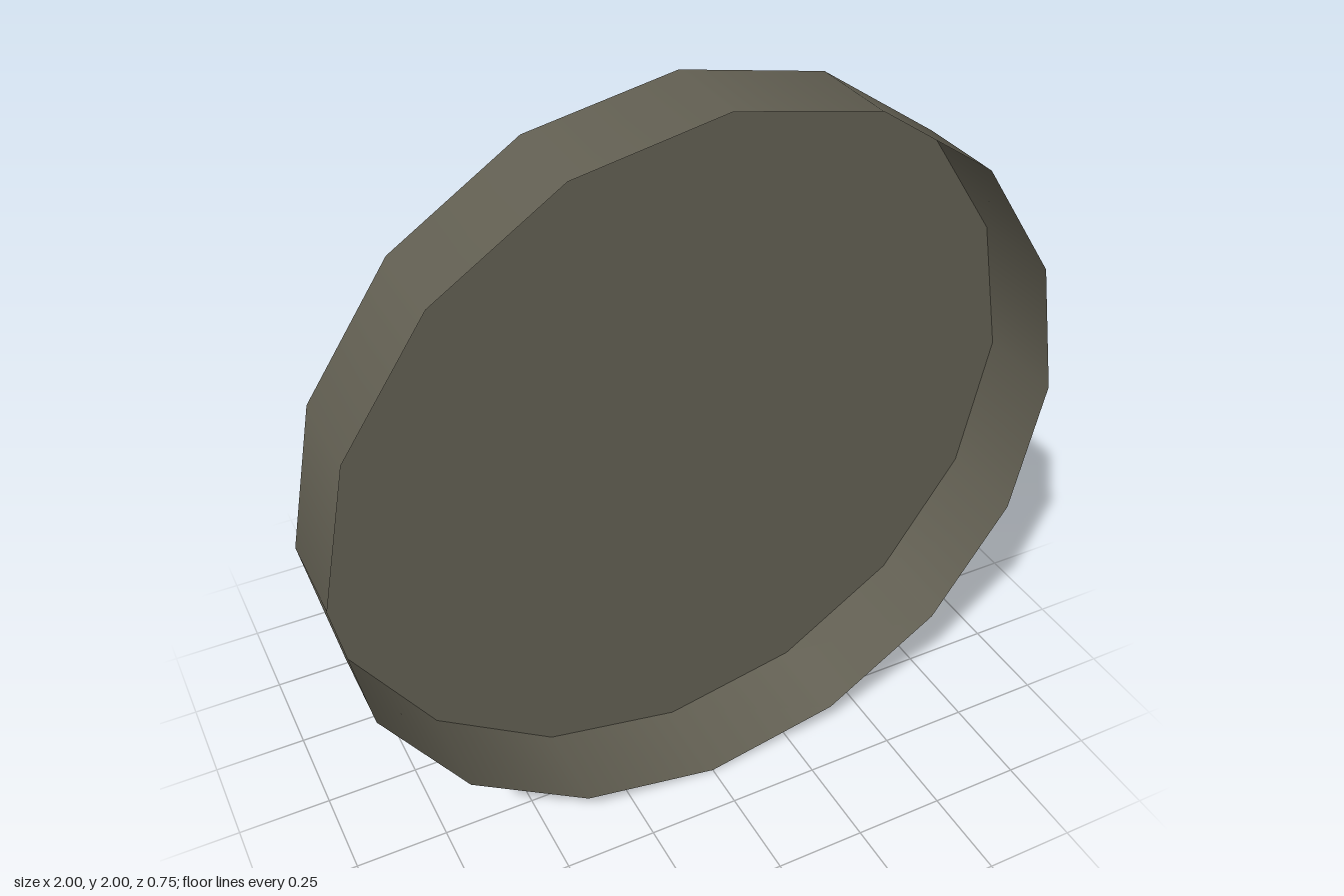
import * as THREE from 'three';

export function createModel() {
  const model = new THREE.Group();
  model.name = 'roundKnob';
  const olive = new THREE.MeshStandardMaterial({ color: 0x625f52, side: THREE.DoubleSide });
  olive.name = 'dark olive grey';

  const add = (name, geometry, x, y, z) => {
    const mesh = new THREE.Mesh(geometry, olive);
    mesh.name = name;
    mesh.position.set(x, y, z);
    model.add(mesh);
  };

  // Sixteen-sided rim, a thin smooth wall open at the front
  const sides = 16;
  add('rim', new THREE.CylinderGeometry(1, 1, 0.25, sides, 1, true).rotateX(Math.PI / 2), 0, 1, 0.25);

  // Plate closing the back of the rim
  add('backPlate', new THREE.CircleGeometry(1, sides).rotateY(Math.PI), 0, 1, 0.125);

  // Grip bar across the back: square root with a half-round outer edge
  const radius = 0.25, length = 1.5, steps = 4, arcStart = 0.125;
  const profile = new THREE.Shape();
  profile.moveTo(-0.125, -radius);
  for (let i = 0; i <= steps; i++) {
    const a = -Math.PI / 2 + (i / steps) * Math.PI;
    profile.lineTo(arcStart + radius * Math.cos(a), radius * Math.sin(a));
  }
  profile.lineTo(-0.125, radius);
  profile.closePath();
  const bar = new THREE.ExtrudeGeometry(profile, { depth: length, bevelEnabled: false });

  // Round the shading of the outer edge; the ends stay flat
  const { position, normal } = bar.attributes;
  const n = new THREE.Vector3();
  for (let i = 0; i < position.count; i++) {
    if (Math.abs(normal.getZ(i)) > 0.5 || position.getX(i) < arcStart - 0.001) continue;
    n.set(position.getX(i) - arcStart, position.getY(i), 0).normalize();
    normal.setXYZ(i, n.x, n.y, n.z);
  }
  bar.translate(0, 0, -length / 2).rotateY(Math.PI / 2);
  add('gripBar', bar, 0, 1, 0);

  return model;
}
